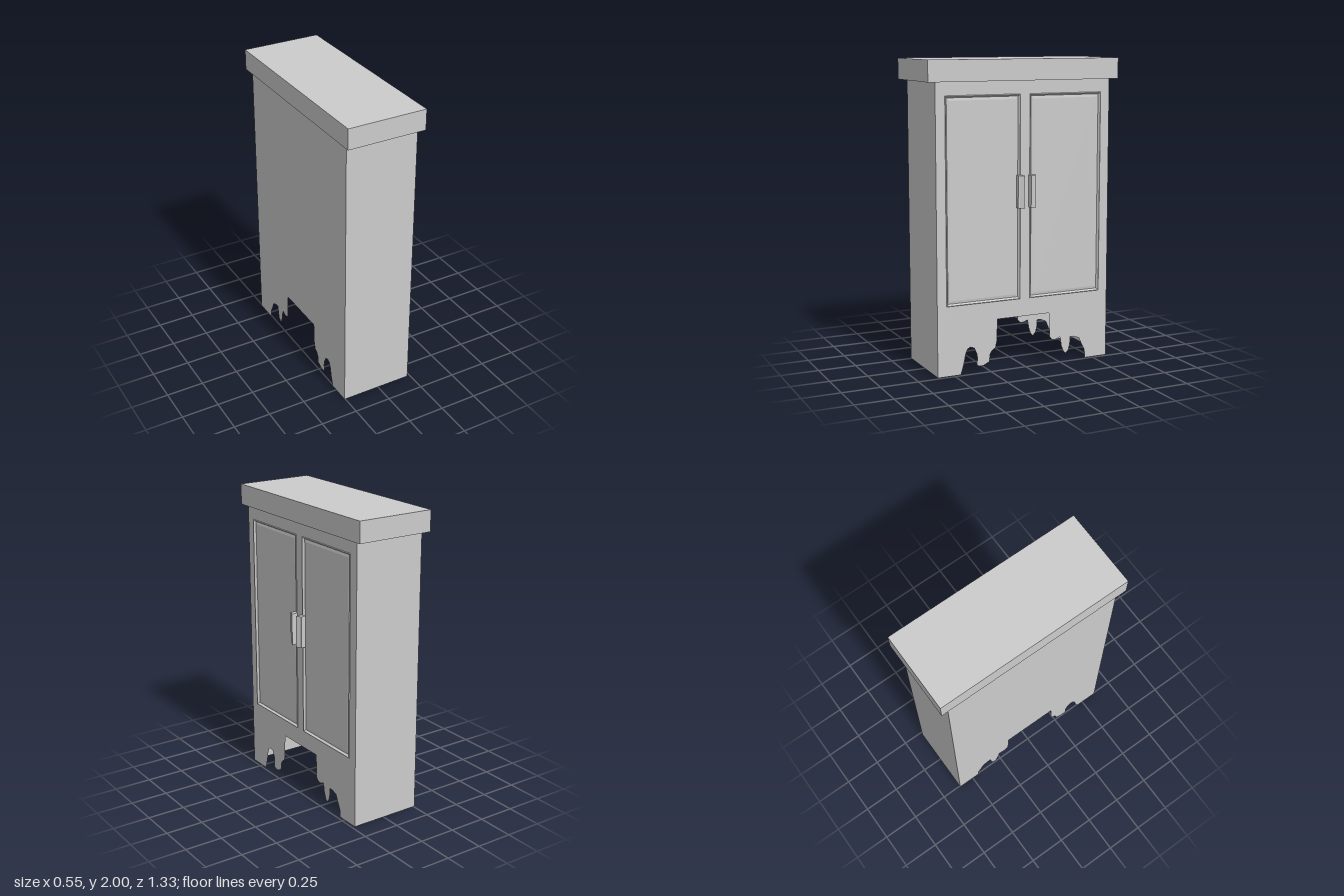
import * as THREE from 'three';

const material = new THREE.MeshStandardMaterial({ color: 0xcccccc, flatShading: true, side: THREE.DoubleSide });

const W = 0.611, BACK = -0.256, FACE = 0.231, BODY_TOP = 1.866;

// Door opening: x range for one side (mirrored for the other), y range
const DOOR = { x0: 0.033, x1: 0.548, y0: 0.455, y1: 1.78 };

// Ragged lower edge, from left foot to right foot
const RAGGED = [
  [-0.453, 0], [-0.432, 0.07], [-0.42, 0.132], [-0.406, 0.164], [-0.385, 0.175], [-0.36, 0.166],
  [-0.342, 0.127], [-0.337, 0.095], [-0.342, 0.053], [-0.328, 0.042], [-0.296, 0.041], [-0.254, 0.062],
  [-0.248, 0.11], [-0.237, 0.132], [-0.21, 0.15], [-0.2, 0.196], [-0.195, 0.338],
  [0.177, 0.338], [0.183, 0.175], [0.203, 0.154], [0.23, 0.153], [0.261, 0.166], [0.271, 0.106],
  [0.287, 0.063], [0.303, 0.048], [0.324, 0.068], [0.335, 0.111], [0.337, 0.158], [0.361, 0.158],
  [0.404, 0.143], [0.425, 0.095], [0.446, 0.056], [0.449, 0],
];

function add(parent, name, geometry) {
  const mesh = new THREE.Mesh(geometry, material);
  mesh.name = name;
  parent.add(mesh);
  return mesh;
}

function wallShape() {
  const points = [[-W, BODY_TOP], [-W, 0], ...RAGGED, [W, 0], [W, BODY_TOP]];
  return new THREE.Shape(points.map(([x, y]) => new THREE.Vector2(x, y)));
}

// Rectangular door panel from nested loops: [inset, z]
function doorPanel(x0, x1) {
  const loops = [[0, FACE], [0.004, FACE + 0.005], [0.014, FACE - 0.01], [0.032, FACE - 0.007]];
  const corners = loops.map(([d, z]) => [
    [x0 + d, DOOR.y0 + d, z], [x1 - d, DOOR.y0 + d, z],
    [x1 - d, DOOR.y1 - d, z], [x0 + d, DOOR.y1 - d, z],
  ]);
  const pos = [];
  const quad = (a, b, c, d) => pos.push(...a, ...b, ...c, ...a, ...c, ...d);
  for (let i = 0; i < corners.length - 1; i++) {
    for (let k = 0; k < 4; k++) {
      const n = (k + 1) % 4;
      quad(corners[i][k], corners[i][n], corners[i + 1][n], corners[i + 1][k]);
    }
  }
  quad(...corners[corners.length - 1]);
  const geometry = new THREE.BufferGeometry();
  geometry.setAttribute('position', new THREE.Float32BufferAttribute(pos, 3));
  geometry.computeVertexNormals();
  return geometry;
}

// Upright pull with a slanted outer face, highest towards the middle
function handleGeometry(side) {
  const profile = [[0.026, FACE - 0.003], [0.022, 0.277], [0.028, 0.277], [0.05, 0.264], [0.063, 0.262], [0.058, FACE - 0.003]];
  const shape = new THREE.Shape(profile.map(([x, z]) => new THREE.Vector2(side * x, -z)));
  const geometry = new THREE.ExtrudeGeometry(shape, { depth: 0.21, bevelEnabled: false });
  geometry.rotateX(-Math.PI / 2); // extrusion runs upwards
  geometry.translate(0, 1.054, 0);
  return geometry;
}

export function createModel() {
  const model = new THREE.Group();
  model.name = 'cabinet';

  // Built with the doors facing local +z, then turned towards +x
  const cabinet = new THREE.Group();
  cabinet.name = 'cabinetBody';
  cabinet.rotation.y = Math.PI / 2;
  model.add(cabinet);

  // Thin front wall with two door openings, and a plain back wall
  const front = wallShape();
  for (const side of [-1, 1]) {
    const { x0, x1, y0, y1 } = DOOR;
    front.holes.push(new THREE.Path(
      [[x0, y0], [x0, y1], [x1, y1], [x1, y0]].map(([x, y]) => new THREE.Vector2(side * x, y))
    ));
  }
  add(cabinet, 'frontWall', new THREE.ShapeGeometry(front)).position.z = FACE;
  add(cabinet, 'backWall', new THREE.ShapeGeometry(wallShape()).rotateY(Math.PI)
    .scale(-1, 1, 1).rotateY(0)).position.z = BACK;

  // Side walls, door panels and handles
  for (const side of [-1, 1]) {
    const label = side > 0 ? 'Right' : 'Left';
    const wall = add(cabinet, 'sideWall' + label, new THREE.PlaneGeometry(FACE - BACK, BODY_TOP));
    wall.rotation.y = side * Math.PI / 2;
    wall.position.set(side * W, BODY_TOP / 2, (FACE + BACK) / 2);
    const [a, b] = side > 0 ? [DOOR.x0, DOOR.x1] : [-DOOR.x1, -DOOR.x0];
    add(cabinet, 'doorPanel' + label, doorPanel(a, b));
    add(cabinet, 'handle' + label, handleGeometry(side));
  }

  // Overhanging top
  add(cabinet, 'topSlab', new THREE.BoxGeometry(1.33, 2 - BODY_TOP + 0.002, 0.529))
    .position.set(0, (2 + BODY_TOP) / 2 - 0.001, -0.0125);

  return model;
}
